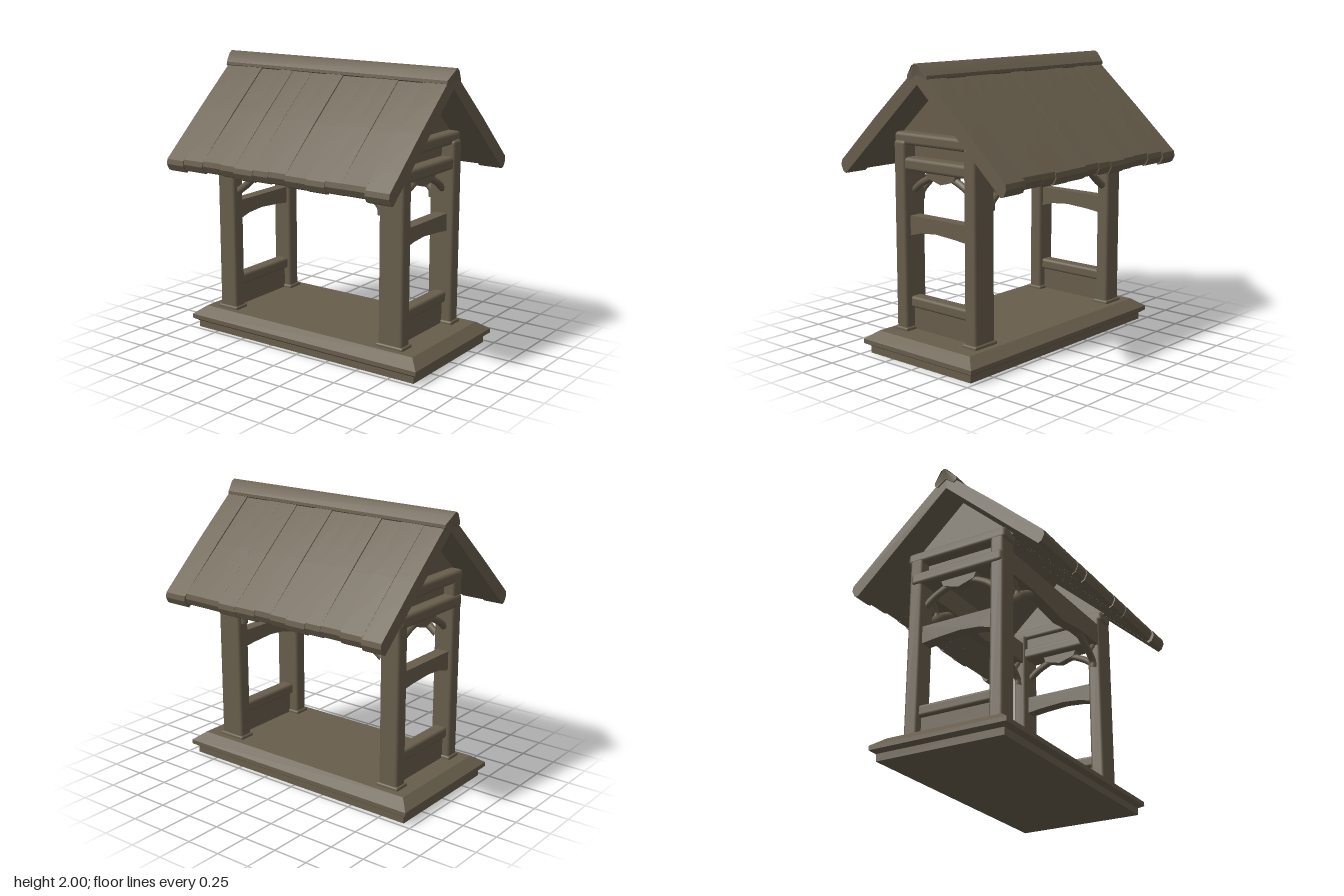
import * as THREE from 'three';
import { toCreasedNormals } from 'three/addons/utils/BufferGeometryUtils.js';
import { RoundedBoxGeometry } from 'three/addons/geometries/RoundedBoxGeometry.js';

const wood = new THREE.MeshStandardMaterial({ color: 0x675d4b });
wood.name = 'weathered wood';

function add(parent, name, geometry, x = 0, y = 0, z = 0) {
  const mesh = new THREE.Mesh(geometry, wood);
  mesh.name = name;
  mesh.position.set(x, y, z);
  parent.add(mesh);
  return mesh;
}

// Softly rounded timber between two opposite corners
function beam(parent, name, [x0, y0, z0], [x1, y1, z1], r = 0.015) {
  const g = new RoundedBoxGeometry(x1 - x0, y1 - y0, z1 - z0, 2, r);
  return add(parent, name, g, (x0 + x1) / 2, (y0 + y1) / 2, (z0 + z1) / 2);
}

// Profile given as [z, y] points, extruded along x from x0 to x1
function alongX(points, x0, x1) {
  const shape = new THREE.Shape(points.map(([z, y]) => new THREE.Vector2(-z, y)));
  const g = new THREE.ExtrudeGeometry(shape, { depth: x1 - x0, bevelEnabled: false });
  return g.rotateY(Math.PI / 2).translate(x0, 0, 0);
}

// Closed profile mirrored about z = 0: outer points from ridge to eave, then inner points back
function mirrored(outer, inner) {
  const flip = ([z, y]) => [-z, y];
  const half = [...outer, ...inner];
  const other = half.filter(([z]) => z !== 0).map(flip).reverse();
  return [...half, ...other];
}

function branch(parent, name, points, radius) {
  const curve = new THREE.CatmullRomCurve3(points.map((p) => new THREE.Vector3(...p)));
  add(parent, name, new THREE.TubeGeometry(curve, 12, radius, 8));
}

export function createModel() {
  const model = new THREE.Group();
  model.name = 'shelter';

  // Base: lower plinth and bevelled floor slab
  add(model, 'plinth', new THREE.BoxGeometry(1.86, 0.06, 0.93), 0, 0.035, 0);
  const slab = new THREE.BoxGeometry(1, 1, 1, 1, 3, 1);
  const rings = [[0.93, 0.055, 0.47], [0.965, 0.075, 0.5], [0.965, 0.105, 0.5], [0.89, 0.163, 0.42]];
  const sp = slab.attributes.position;
  for (let i = 0; i < sp.count; i++) {
    const [hx, y, hz] = rings[Math.round((sp.getY(i) + 0.5) * 3)];
    sp.setXYZ(i, Math.sign(sp.getX(i)) * hx, y, Math.sign(sp.getZ(i)) * hz);
  }
  add(model, 'floorSlab', toCreasedNormals(slab, 0.5));

  // Posts, [inner, outer] x range at each end
  const ends = [{ s: -1, inner: 0.65, outer: 0.8 }, { s: 1, inner: 0.585, outer: 0.775 }];
  for (const { s, inner, outer } of ends) {
    const end = new THREE.Group();
    end.name = s > 0 ? 'leftEnd' : 'rightEnd';
    model.add(end);
    const mid = (s * (inner + outer)) / 2;
    const [lo, hi] = s > 0 ? [inner, outer] : [-outer, -inner];
    for (const f of [-1, 1]) {
      const z = f > 0 ? [0.27, 0.37] : [-0.365, -0.265];
      beam(end, 'post', [lo, 0.15, z[0]], [hi, 1.47, z[1]], 0.02);
      beam(end, 'postFoot', [lo - 0.012, 0.15, z[0] - 0.012], [hi + 0.012, 0.185, z[1] + 0.012], 0.012);

      // Crooked braces under the eaves beam, with a forked twig
      const zc = f * 0.32;
      branch(model, 'eavesBrace', [[s * (inner - 0.01), 1.05, zc], [s * 0.57, 1.1, zc],
        [s * 0.5, 1.16, zc], [s * 0.43, 1.2, zc], [s * 0.34, 1.25, zc]], 0.027);
      branch(model, 'eavesTwig', [[s * 0.56, 1.11, zc], [s * 0.53, 1.17, zc], [s * 0.58, 1.24, zc]], 0.018);
      // Braces under the cross beam
      branch(end, 'crossBrace', [[mid, 1.13, f * 0.275], [mid, 1.18, f * 0.21],
        [mid, 1.225, f * 0.12], [mid, 1.25, f * 0.04]], 0.025);
    }

    // Cross beams, recessed filler and gable wall
    beam(end, 'lowerCrossBeam', [mid - 0.085, 1.27, -0.35], [mid + 0.085, 1.36, 0.365], 0.025);
    beam(end, 'upperCrossBeam', [mid - 0.075, 1.44, -0.385], [mid + 0.075, 1.525, 0.385], 0.025);
    add(end, 'fillerBoard', new THREE.BoxGeometry(0.05, 0.12, 0.6), mid - s * 0.03, 1.4, 0);
    add(end, 'crossArch', alongX([[0.14, 1.28], [-0.14, 1.28], [-0.12, 1.23], [0, 1.195], [0.12, 1.23]],
      mid - 0.03, mid + 0.03));
    add(end, 'gableWall', alongX([[0.4, 1.5], [0, 1.88], [-0.4, 1.5]],
      mid - s * 0.03 - 0.02, mid - s * 0.03 + 0.02));

    // Arched middle rail, low rail and kick board
    add(end, 'middleRail', toCreasedNormals(alongX([[0.28, 0.96], [-0.28, 0.96], [-0.28, 0.835],
      [-0.15, 0.85], [0.03, 0.862], [0.17, 0.85], [0.28, 0.82]], mid - 0.045, mid + 0.045), 0.5));
    beam(end, 'lowRail', [mid - 0.05, 0.32, -0.28], [mid + 0.05, 0.4, 0.28], 0.02);
    add(end, 'kickBoard', new THREE.BoxGeometry(0.04, 0.18, 0.56), mid, 0.245, 0);
  }

  // Eaves beams with a bowed underside
  const bow = new THREE.Shape();
  bow.moveTo(-0.76, 1.4);
  for (const [x, y] of [[-0.76, 1.24], [-0.4, 1.24], [-0.2, 1.225], [-0.08, 1.21], [0.03, 1.197],
    [0.15, 1.215], [0.3, 1.235], [0.74, 1.24], [0.74, 1.4]]) bow.lineTo(x, y);
  for (const f of [-1, 1]) {
    const g = new THREE.ExtrudeGeometry(bow, { depth: 0.08, bevelEnabled: false });
    add(model, 'eavesBeam', g, 0, 0, f * 0.32 - 0.04);
  }

  // Roof planks with slightly uneven heights and eaves
  const roof = new THREE.Group();
  roof.name = 'roof';
  model.add(roof);
  const cuts = [-0.93, -0.78, -0.61, -0.45, -0.33, -0.17, -0.04, 0.1, 0.27, 0.42, 0.54, 0.73, 0.91];
  for (let i = 0; i < cuts.length - 1; i++) {
    const lift = 0.006 * Math.sin(i * 2.4);
    const edge = i === 0 || i === cuts.length - 2 ? 0.012 : 0.005 * Math.sin(i * 1.7 + 1);
    const profile = mirrored(
      [[0, 1.965 + lift], [0.09, 1.895 + lift], [0.4, 1.622 + lift], [0.728 + edge, 1.325 - edge],
        [0.735 + edge, 1.29 - edge]],
      [[0.715 + edge, 1.25 - edge], [0.69 + edge, 1.238 - edge], [0, 1.865]]);
    add(roof, 'plank', toCreasedNormals(alongX(profile, cuts[i], cuts[i + 1]), 0.6));
  }

  // Ridge cap, flaring outward toward its crest
  const cap = alongX(mirrored([[0, 2], [0.025, 1.985], [0.085, 1.925]],
    [[0.088, 1.905], [0.065, 1.885], [0, 1.93]]), -0.94, 0.91);
  const cp = cap.attributes.position;
  for (let i = 0; i < cp.count; i++) {
    if (cp.getY(i) > 1.96) cp.setX(i, cp.getX(i) * 1.025);
  }
  add(roof, 'ridgeCap', toCreasedNormals(cap, 0.6));

  return model;
}
